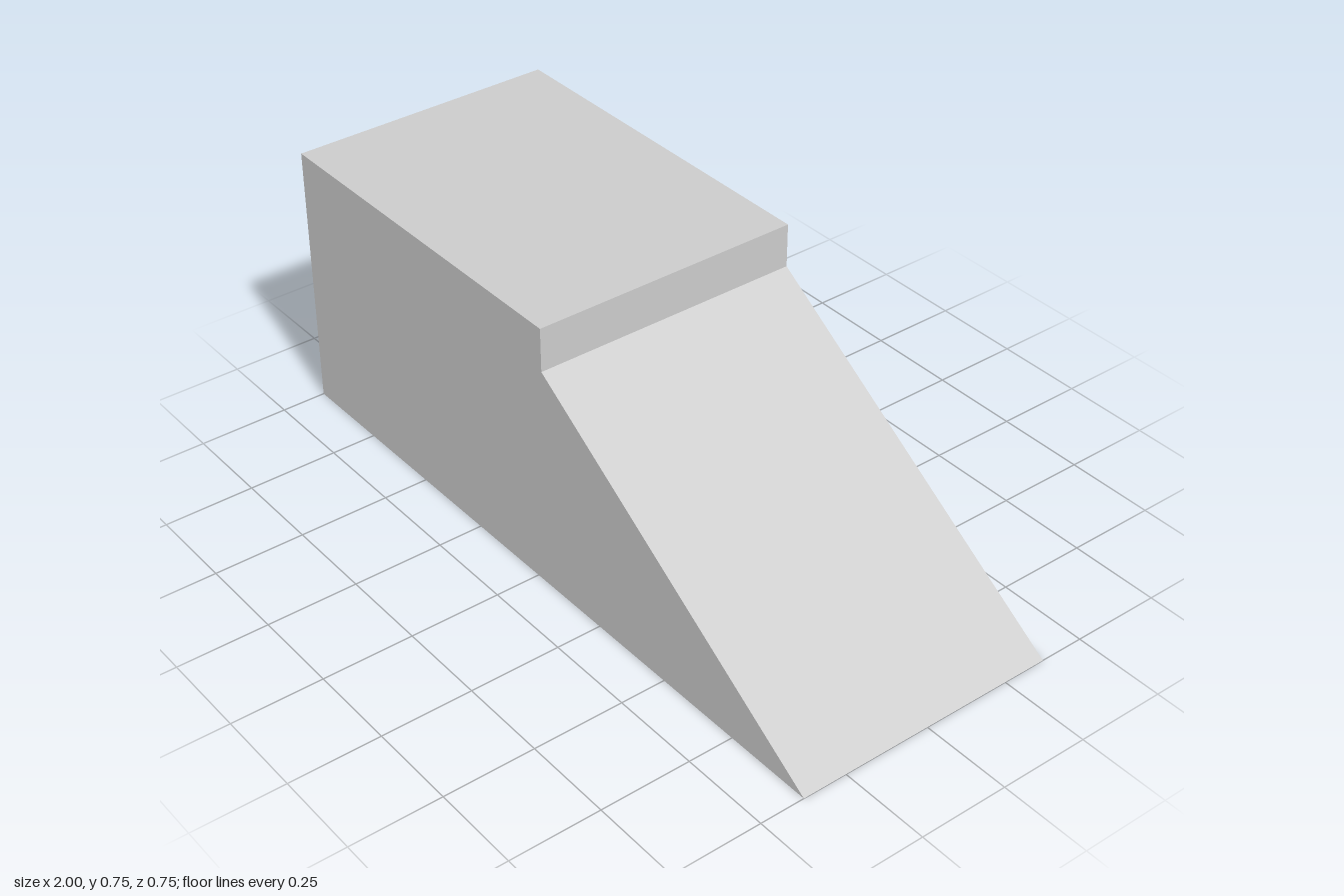
import * as THREE from 'three';

const DEPTH = 0.75;

export function createModel() {
  const group = new THREE.Group();
  group.name = 'rampBlock';

  // Side profile: tall block, small step down, then a ramp to the ground
  const profile = new THREE.Shape([
    new THREE.Vector2(-1, 0),
    new THREE.Vector2(1, 0),
    new THREE.Vector2(0.04, 0.63),
    new THREE.Vector2(0.04, 0.75),
    new THREE.Vector2(-1, 0.75),
  ]);

  const geometry = new THREE.ExtrudeGeometry(profile, { depth: DEPTH, bevelEnabled: false });
  geometry.translate(0, 0, -DEPTH / 2);

  const body = new THREE.Mesh(
    geometry,
    new THREE.MeshStandardMaterial({ color: 0xcccccc, flatShading: true })
  );
  body.name = 'blockWithRamp';
  group.add(body);

  return group;
}
